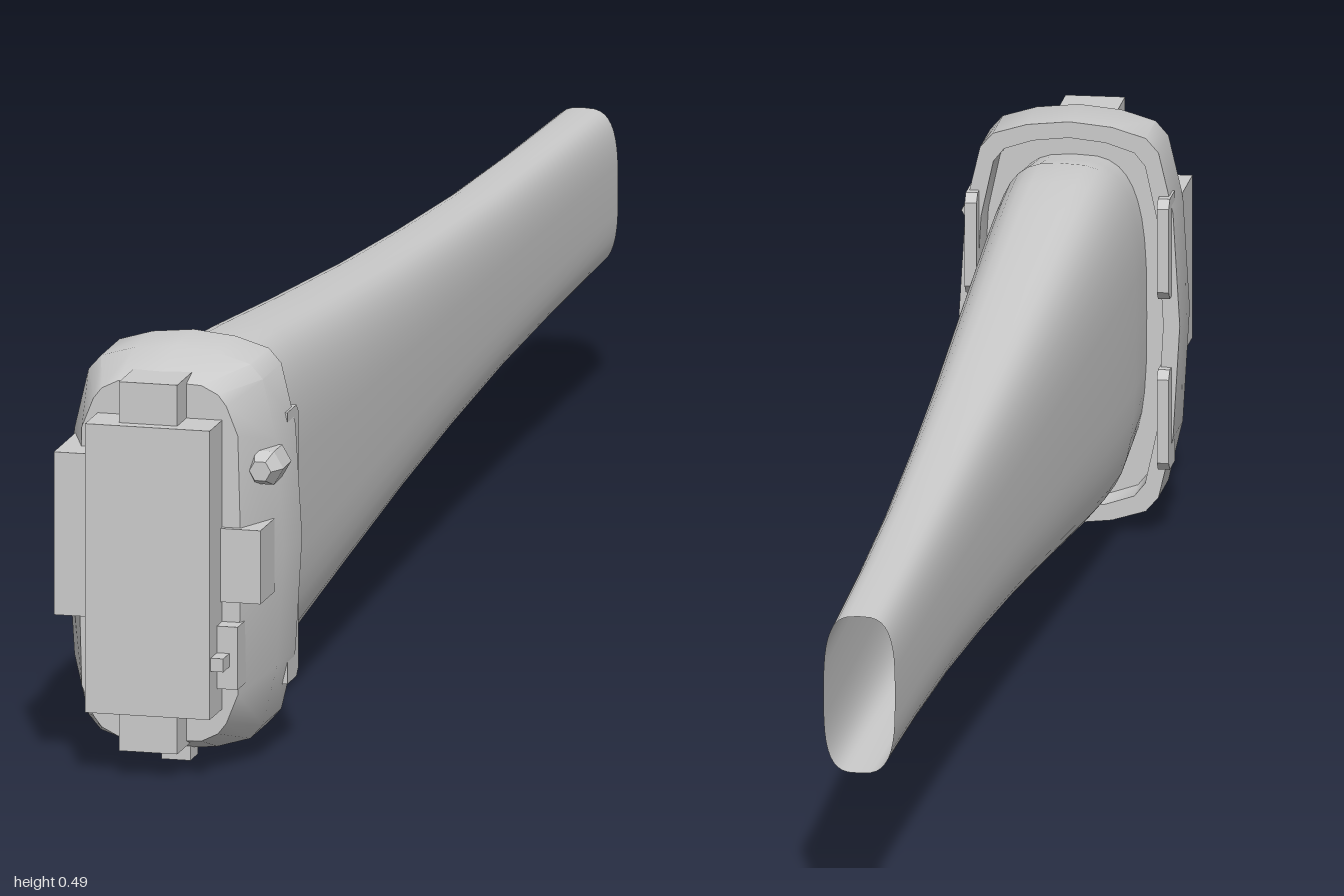
import * as THREE from 'three';
import { toCreasedNormals } from 'three/addons/utils/BufferGeometryUtils.js';

const CX = -0.005, CY = 0.25;

// Skin rings of [x, y] points placed at given z; rings run counter-clockwise seen from +z
function loft(sections, crease) {
  const n = sections[0].ring.length, pos = [], idx = [];
  for (const { z, ring } of sections) for (const [x, y] of ring) pos.push(CX + x, CY + y, z);
  for (let i = 0; i < sections.length - 1; i++) {
    for (let j = 0; j < n; j++) {
      const a = i * n + j, b = i * n + (j + 1) % n;
      idx.push(a, b, b + n, a, b + n, a + n);
    }
  }
  const g = new THREE.BufferGeometry();
  g.setAttribute('position', new THREE.Float32BufferAttribute(pos, 3));
  g.setIndex(idx);
  g.computeVertexNormals();
  return crease ? toCreasedNormals(g, crease) : g;
}

// Mirror a quarter outline (from +x axis to +y axis) into a full ring
function fullRing(q) {
  const inner = q.slice(1, -1), rev = [...inner].reverse(), last = q[q.length - 1];
  return [
    ...q,
    ...rev.map(([x, y]) => [-x, y]),
    [-q[0][0], 0],
    ...inner.map(([x, y]) => [-x, -y]),
    [0, -last[1]],
    ...rev.map(([x, y]) => [x, -y]),
  ];
}

const scaled = (ring, sx, sy) => ring.map(([x, y]) => [x * sx, y * sy]);

// Soft rounded oblong
function oblong(a, b, n = 40, p = 3.2) {
  return Array.from({ length: n }, (_, i) => {
    const t = (i / n) * Math.PI * 2, c = Math.cos(t), s = Math.sin(t);
    return [a * Math.sign(c) * Math.abs(c) ** (2 / p), b * Math.sign(s) * Math.abs(s) ** (2 / p)];
  });
}

export function createModel() {
  const group = new THREE.Group();
  const mat = new THREE.MeshStandardMaterial({ color: 0xcccccc });
  const thin = new THREE.MeshStandardMaterial({ color: 0xcccccc, side: THREE.DoubleSide });
  const flat = new THREE.MeshStandardMaterial({ color: 0xcccccc, flatShading: true });

  const add = (name, geo, material = mat) => {
    const m = new THREE.Mesh(geo, material);
    m.name = name;
    group.add(m);
    return m;
  };
  const box = (name, x0, x1, y0, y1, z0, z1) =>
    add(name, new THREE.BoxGeometry(x1 - x0, y1 - y0, z1 - z0))
      .position.set((x0 + x1) / 2, (y0 + y1) / 2, (z0 + z1) / 2);

  // Long hollow boom, open at the rear: z, half width, half height
  const stations = [
    [-1, 0.042, 0.094], [-0.75, 0.044, 0.1], [-0.5, 0.048, 0.109], [-0.25, 0.054, 0.124],
    [0, 0.062, 0.142], [0.3, 0.073, 0.169], [0.55, 0.081, 0.194], [0.65, 0.084, 0.202],
    [0.73, 0.086, 0.205], [0.78, 0.086, 0.197], [0.88, 0.084, 0.185],
  ];
  add('boom', loft(stations.map(([z, a, b]) => ({ z, ring: oblong(a, b) }))), thin);

  // Collar: recessed back, rim, outer wall, tapered shoulder and front plate
  const outer = fullRing([[0.13, 0], [0.122, 0.135], [0.105, 0.207], [0.09, 0.224], [0.05, 0.236], [0, 0.241]]);
  const front = fullRing([[0.098, 0], [0.094, 0.155], [0.08, 0.19], [0.07, 0.203], [0.05, 0.213], [0, 0.215]]);
  add('collar', loft([
    { z: 0.83, ring: scaled(outer, 0.3, 0.3) },
    { z: 0.83, ring: scaled(outer, 0.83, 0.91) },
    { z: 0.785, ring: scaled(outer, 0.85, 0.92) },
    { z: 0.785, ring: outer },
    { z: 0.87, ring: outer },
    { z: 0.943, ring: front },
    { z: 0.943, ring: scaled(front, 0.05, 0.05) },
  ], 0.6));

  // Clips standing on the rear rim, two per side
  for (const s of [-1, 1]) {
    for (const y of [0.14, 0.345]) {
      const shape = new THREE.Shape();
      shape.moveTo(-0.06, 0.03);
      shape.lineTo(-0.06, -0.012);
      shape.lineTo(-0.05, -0.022);
      shape.lineTo(0.05, -0.022);
      shape.lineTo(0.06, -0.012);
      shape.lineTo(0.06, 0.03);
      const g = new THREE.ExtrudeGeometry(shape, { depth: 0.014, bevelEnabled: false });
      g.translate(0, 0, -0.007);
      g.applyMatrix4(new THREE.Matrix4().makeBasis(
        new THREE.Vector3(0, 1, 0), new THREE.Vector3(0, 0, 1), new THREE.Vector3(1, 0, 0)));
      add('rimClip', g).position.set(CX + s * 0.113, y, 0.785);
    }
  }

  // Front equipment blocks
  box('frontBlock', -0.08, 0.07, 0.077, 0.423, 0.9, 1);
  box('upperLatch', -0.043, 0.027, 0.4, 0.472, 0.9, 0.985);
  box('lowerLatch', -0.043, 0.027, 0.03, 0.1, 0.9, 0.985);
  box('rightBlock', -0.123, -0.08, 0.187, 0.382, 0.86, 0.98);
  box('leftBlock', 0.06, 0.118, 0.207, 0.295, 0.885, 0.95);
  box('switchBox', 0.06, 0.095, 0.107, 0.182, 0.9, 0.967);
  box('switchButton', 0.069, 0.085, 0.134, 0.15, 0.95, 0.995);
  box('bottomFoot', -0.017, 0.018, 0, 0.03, 0.855, 0.89);

  // Six-sided stud on the left shoulder, tapering forward
  const stud = new THREE.LatheGeometry([
    new THREE.Vector2(0, -0.03), new THREE.Vector2(0.022, -0.03),
    new THREE.Vector2(0.023, 0.01), new THREE.Vector2(0.013, 0.03), new THREE.Vector2(0, 0.03),
  ], 6);
  stud.rotateY(Math.PI / 6).rotateX(Math.PI / 2);
  add('stud', stud, flat).position.set(0.111, 0.36, 0.895);

  return group;
}
